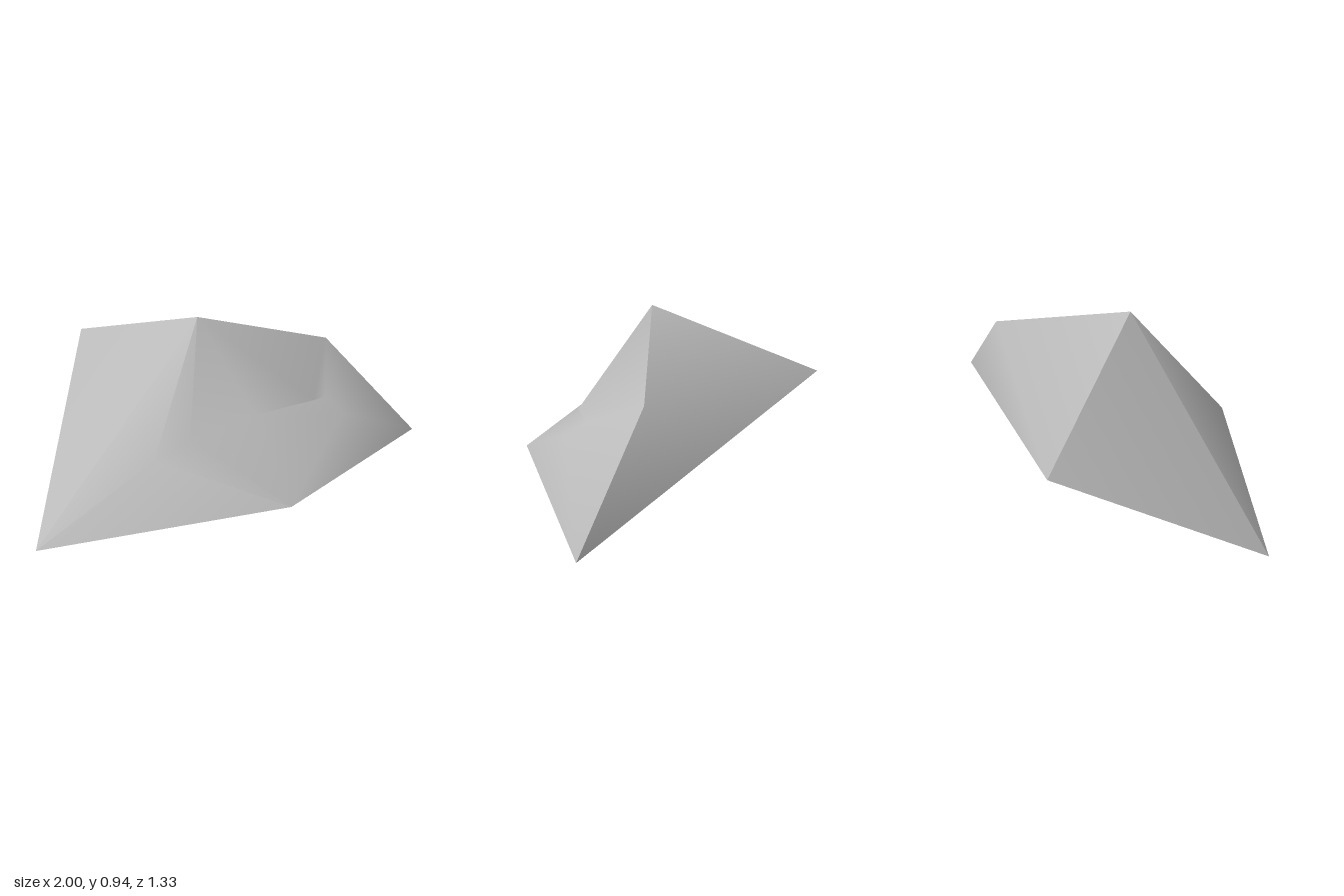
import * as THREE from 'three';
import { toCreasedNormals } from 'three/addons/utils/BufferGeometryUtils.js';

// Corner points of the faceted rock
const P = {
  rightTip: [-1, 0, 0.16],
  leftTip: [1, 0.065, 0.08],
  peak: [-0.18, 0.935, 0.085],
  shoulder: [0.56, 0.605, -0.075],
  back: [-0.47, 0.605, -0.665],
  nose: [-0.01, 0.26, 0.665],
  bulge: [-0.507, 0.45, 0.36],
  ridge: [-0.34, 0.51, 0.36],
  hollow: [0, 0.51, 0.29],
  flap: [0.29, 0.52, 0.3],
  notch: [0.39, 0.48, 0.23],
  knuckle: [0.43, 0.43, 0.32],
};

// Facets of each part, counter-clockwise from outside
const PARTS = {
  body: [
    'peak back rightTip', 'peak shoulder back', 'shoulder leftTip back',
    'rightTip back leftTip', 'rightTip leftTip nose',
    'peak rightTip bulge', 'bulge rightTip nose',
    'peak bulge ridge', 'bulge nose ridge',
    'peak ridge hollow', 'ridge nose hollow', 'nose knuckle hollow',
    'peak hollow flap', 'hollow notch flap', 'hollow knuckle notch',
    'peak flap shoulder', 'flap notch shoulder', 'notch knuckle shoulder',
    'knuckle leftTip shoulder', 'knuckle nose leftTip',
  ],
};

function facets(list) {
  const positions = list.flatMap((face) => face.split(' ').flatMap((name) => P[name]));
  const geometry = new THREE.BufferGeometry();
  geometry.setAttribute('position', new THREE.Float32BufferAttribute(positions, 3));
  geometry.computeVertexNormals();
  return toCreasedNormals(geometry, 0.9);
}

export function createModel() {
  const group = new THREE.Group();
  group.name = 'rock';
  const stone = new THREE.MeshStandardMaterial({ color: 0xbbbbbb });
  stone.name = 'stone grey';
  for (const [name, list] of Object.entries(PARTS)) {
    const mesh = new THREE.Mesh(facets(list), stone);
    mesh.name = name;
    group.add(mesh);
  }
  return group;
}
